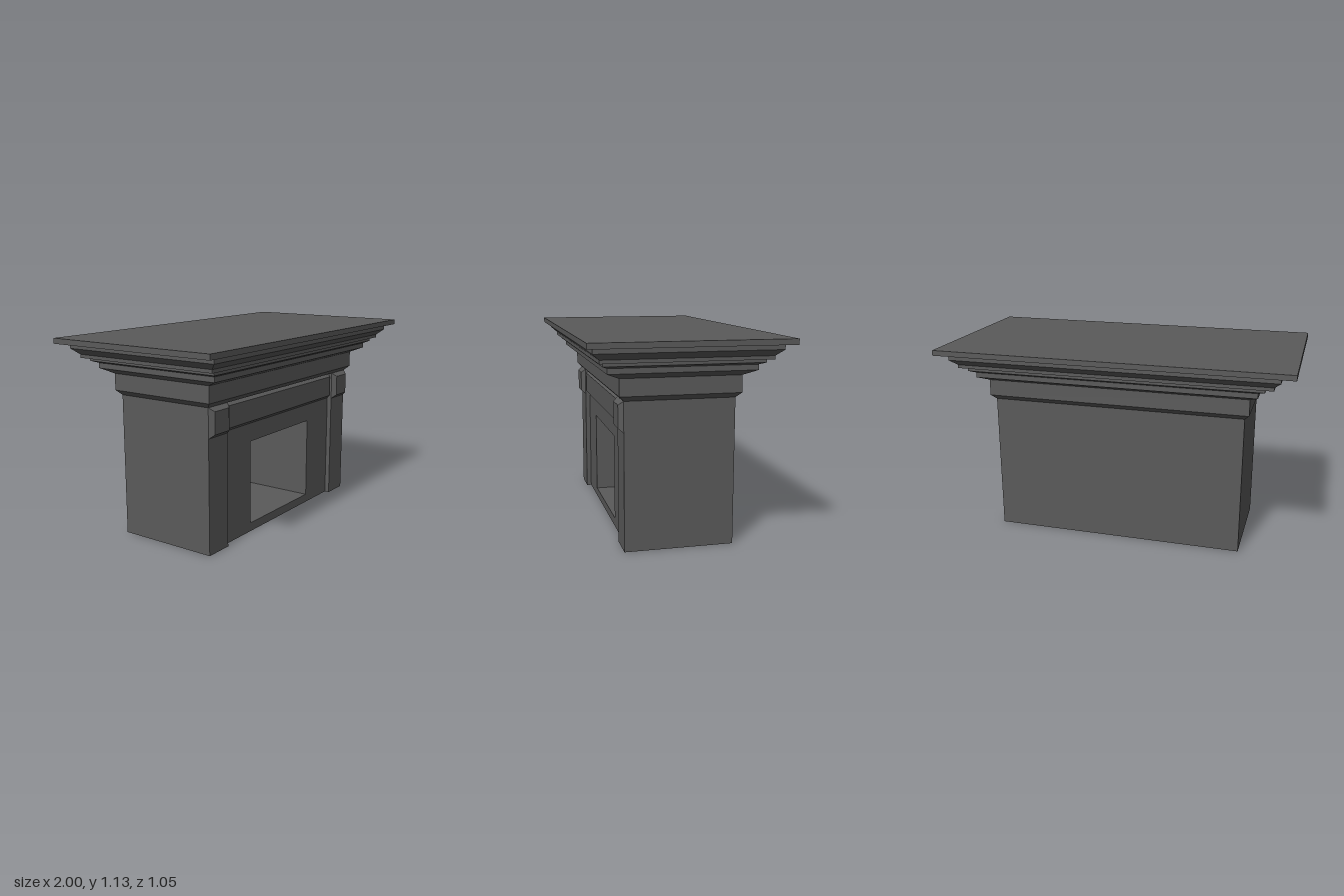
import * as THREE from 'three';

const material = new THREE.MeshStandardMaterial({ color: 0x5a5a5a, flatShading: true, side: THREE.DoubleSide });

const BODY_X = 0.73, BODY_Z = 0.298, BODY_H = 0.804;
const PILLAR_X = 0.565, PANEL_Z = 0.27;

// Skin a series of cross-sections with flat faces; optionally cap the last one.
function loft(rings, { closed = true, cap = false } = {}) {
  const pos = [];
  const tri = (...pts) => pts.forEach((p) => pos.push(...p));
  for (let i = 0; i < rings.length - 1; i++) {
    const n = rings[i].length;
    for (let j = 0; j < (closed ? n : n - 1); j++) {
      const k = (j + 1) % n;
      const [a, b, c, d] = [rings[i][j], rings[i][k], rings[i + 1][k], rings[i + 1][j]];
      tri(a, b, c);
      tri(a, c, d);
    }
  }
  if (cap) {
    const r = rings[rings.length - 1];
    for (let j = 1; j < r.length - 1; j++) tri(r[0], r[j], r[j + 1]);
  }
  const geometry = new THREE.BufferGeometry();
  geometry.setAttribute('position', new THREE.Float32BufferAttribute(pos, 3));
  geometry.computeVertexNormals();
  return geometry;
}

// Rectangles: upright (facing +z) and level (facing +y)
const upright = (x0, x1, y0, y1, z) => [[x0, y0, z], [x1, y0, z], [x1, y1, z], [x0, y1, z]];
const level = (x, z, y) => [[-x, y, z], [x, y, z], [x, y, -z], [-x, y, -z]];

export function createModel() {
  const group = new THREE.Group();
  const add = (name, geometry) => {
    const mesh = new THREE.Mesh(geometry, material);
    mesh.name = name;
    group.add(mesh);
    return mesh;
  };

  // Hollow chimney breast with slightly projecting pillars, open underneath
  const plan = [
    [PILLAR_X, PANEL_Z], [PILLAR_X, BODY_Z], [BODY_X, BODY_Z], [BODY_X, -BODY_Z],
    [-BODY_X, -BODY_Z], [-BODY_X, BODY_Z], [-PILLAR_X, BODY_Z], [-PILLAR_X, PANEL_Z],
  ];
  add('bodyWalls', loft([0, BODY_H].map((y) => plan.map(([x, z]) => [x, y, z])), { closed: false }));

  // Recessed front panel with the hearth opening
  const fire = { x: 0.311, y0: 0.05, y1: 0.535, back: -0.22 };
  const panel = new THREE.Shape([
    [-PILLAR_X, 0], [PILLAR_X, 0], [PILLAR_X, BODY_H], [-PILLAR_X, BODY_H],
  ].map((p) => new THREE.Vector2(...p)));
  panel.holes.push(new THREE.Path([
    [-fire.x, fire.y0], [-fire.x, fire.y1], [fire.x, fire.y1], [fire.x, fire.y0],
  ].map((p) => new THREE.Vector2(...p))));
  add('frontPanel', new THREE.ShapeGeometry(panel)).position.z = PANEL_Z;

  // Firebox recess
  add('firebox', loft(
    [PANEL_Z, fire.back].map((z) => upright(-fire.x, fire.x, fire.y0, fire.y1, z)),
    { cap: true },
  ));

  // Bevelled frieze: long centre panel and a block on each pillar
  const frieze = (name, x0, x1, z) => add(name, loft([
    upright(x0, x1, 0.64, BODY_H, z),
    upright(x0 + 0.021, x1 - 0.021, 0.661, 0.783, z + 0.026),
  ], { cap: true }));
  frieze('friezePanel', -PILLAR_X, PILLAR_X, PANEL_Z);
  frieze('leftFriezeBlock', PILLAR_X, BODY_X, BODY_Z);
  frieze('rightFriezeBlock', -BODY_X, -PILLAR_X, BODY_Z);

  // Narrow soffit closing the step between the panel and the cornice
  const soffit = new THREE.PlaneGeometry(2 * PILLAR_X, BODY_Z - PANEL_Z).rotateX(Math.PI / 2);
  add('friezeSoffit', soffit).position.set(0, BODY_H, (BODY_Z + PANEL_Z) / 2);

  // Stepped cornice and mantel shelf: half width, half depth, height
  const profile = [
    [BODY_X, BODY_Z, BODY_H], [0.756, 0.325, 0.831], [0.756, 0.325, 0.924],
    [0.803, 0.395, 0.953], [0.803, 0.395, 0.982], [0.84, 0.423, 0.995],
    [0.84, 0.423, 1.015], [0.887, 0.447, 1.015], [0.887, 0.447, 1.034],
    [0.923, 0.485, 1.067], [0.923, 0.485, 1.097], [1, 0.523, 1.097], [1, 0.523, 1.127],
  ];
  add('mantelCornice', loft(profile.map((p) => level(...p)), { cap: true }));

  return group;
}
